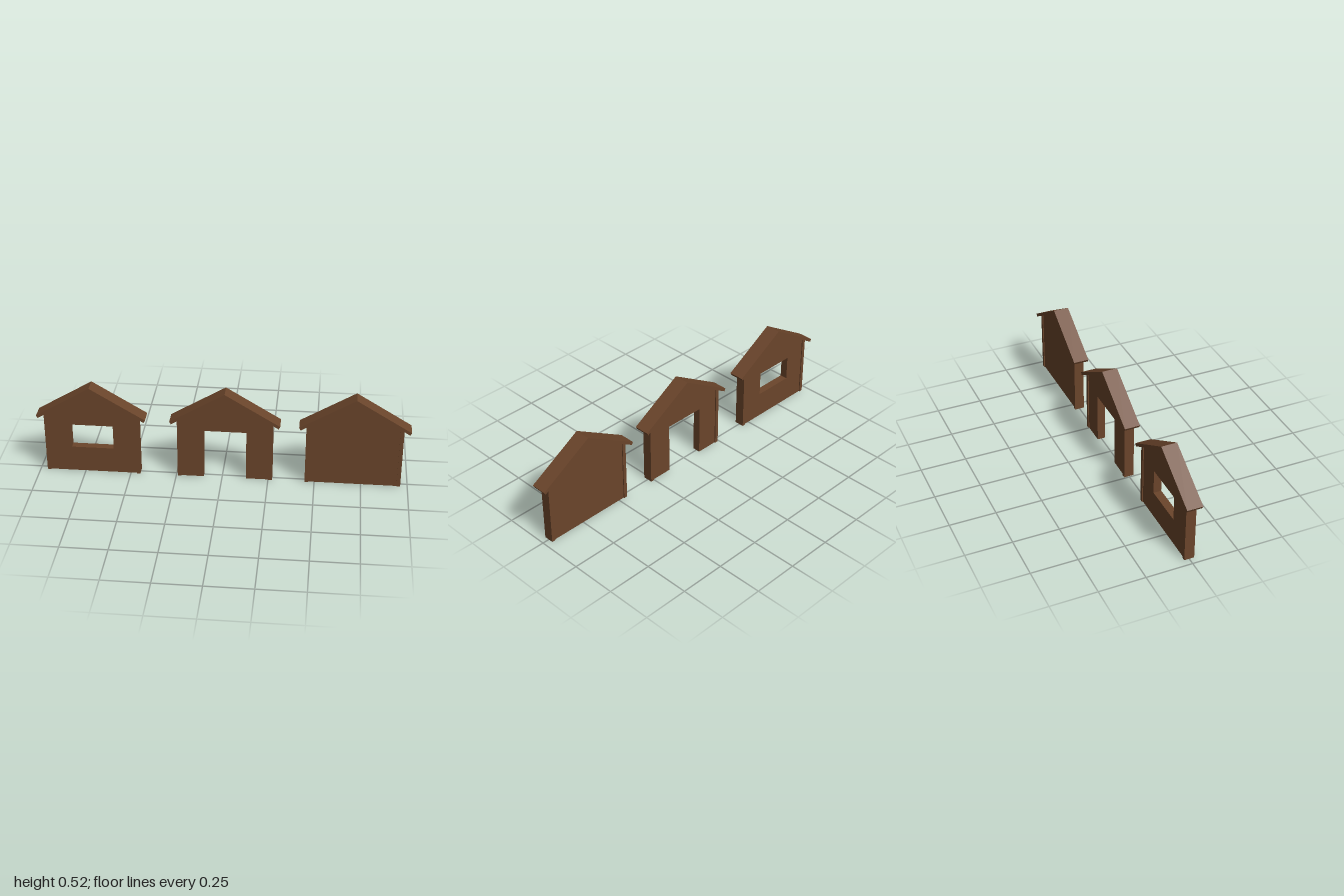
import * as THREE from 'three';

const HALF = 0.257;      // half width of a wall
const POST = 0.02;       // corner post width
const SLOPE = 0.6;       // roof pitch
const RIDGE = 0.52;

// Extrude an outline and centre it on z
function slab(outline, depth, hole) {
  const shape = new THREE.Shape(outline.map(([x, y]) => new THREE.Vector2(x, y)));
  if (hole) shape.holes.push(new THREE.Path(hole.map(([x, y]) => new THREE.Vector2(x, y))));
  const geometry = new THREE.ExtrudeGeometry(shape, { depth, bevelEnabled: false });
  return geometry.translate(0, 0, -depth / 2);
}

export function createModel() {
  const wood = new THREE.MeshStandardMaterial({ color: 0x6b452b });
  wood.name = 'brown wood';

  const model = new THREE.Group();
  model.name = 'gableWalls';

  const underside = (x) => RIDGE - 0.018 - SLOPE * Math.abs(x);

  function add(parent, name, geometry) {
    const mesh = new THREE.Mesh(geometry, wood);
    mesh.name = name;
    parent.add(mesh);
  }

  function gableWall(name, x, opening) {
    const wall = new THREE.Group();
    wall.name = name;
    wall.position.x = x;

    // Panel with a gable top, and a doorway or window where wanted
    const w = HALF - POST;
    const gable = [[w, underside(w)], [0, underside(0)], [-w, underside(w)], [-w, 0]];
    const doorway = [[-0.115, 0], [-0.115, 0.285], [0.115, 0.285], [0.115, 0]];
    const window = [[-0.115, 0.147], [-0.115, 0.285], [0.115, 0.285], [0.115, 0.147]];
    const outline = opening === 'door' ? [...gable, ...doorway, [w, 0]] : [...gable, [w, 0]];
    add(wall, 'panel', slab(outline, 0.043, opening === 'window' ? window : null));

    // Corner posts, cut to the roof pitch
    for (const side of [-1, 1]) {
      const inner = side * w, outer = side * HALF;
      add(wall, side < 0 ? 'rightPost' : 'leftPost', slab(
        [[inner, 0], [outer, 0], [outer, underside(outer)], [inner, underside(inner)]], 0.054));
    }

    // Pitched roof with overhanging eaves
    add(wall, 'roof', slab([
      [0.295, 0.343], [0, RIDGE], [-0.295, 0.343],
      [-0.287, 0.328], [0, underside(0)], [0.287, 0.328],
    ], 0.085));

    model.add(wall);
  }

  gableWall('windowWall', -0.705, 'window');
  gableWall('doorWall', 0.015, 'door');
  gableWall('plainWall', 0.705, null);

  return model;
}
